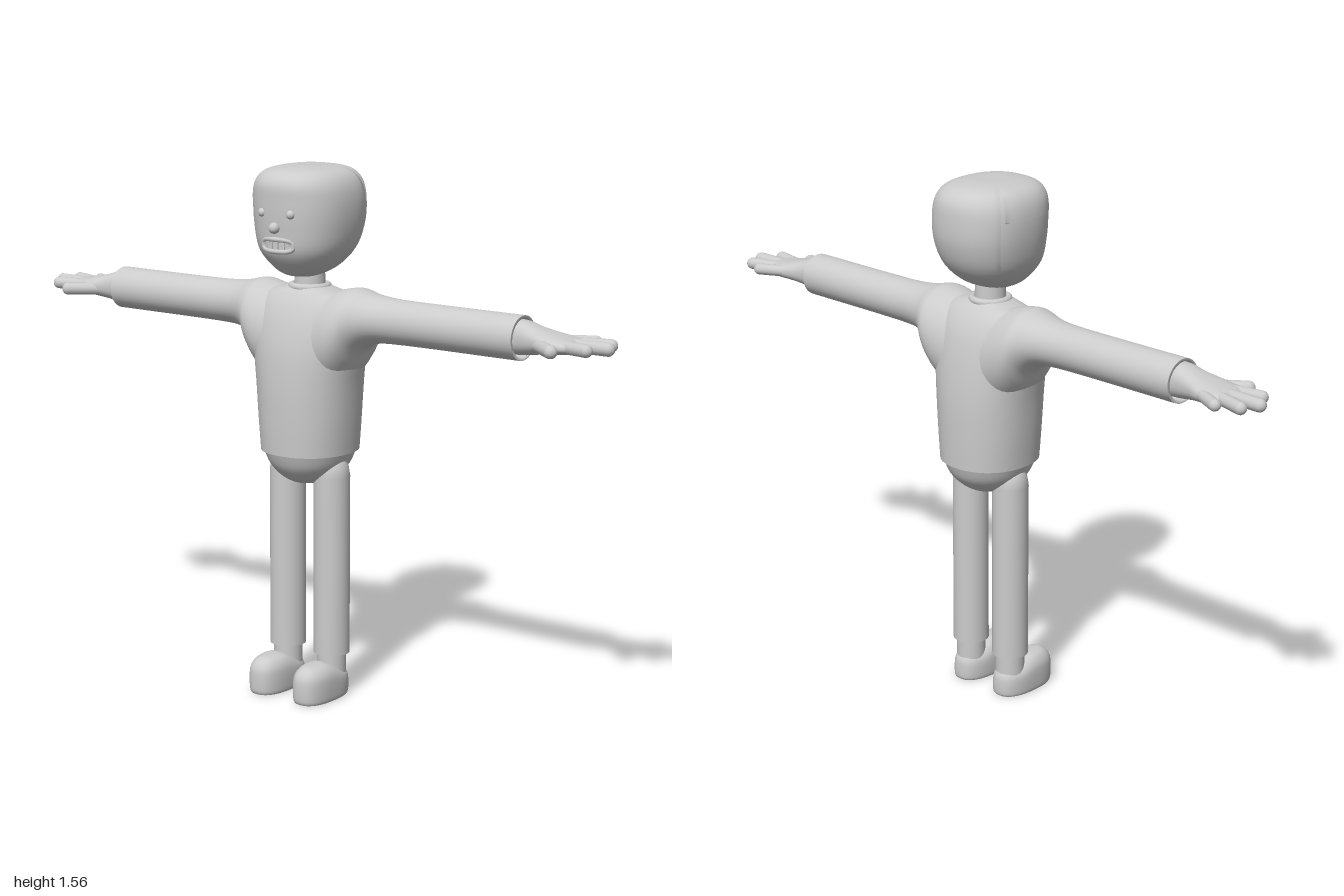
import * as THREE from 'three';
import { mergeVertices } from 'three/addons/utils/BufferGeometryUtils.js';

const material = new THREE.MeshStandardMaterial({ color: 0xcccccc, roughness: 0.8, side: THREE.DoubleSide });
const V = (x, y, z) => new THREE.Vector3(x, y, z);

// Smooth interpolation of a table of rows
function sampleRow(rows, u) {
  const f = u * (rows.length - 1), i = Math.min(Math.floor(f), rows.length - 2), t = f - i;
  const at = k => rows[Math.max(0, Math.min(rows.length - 1, k))];
  return rows[0].map((_, c) => {
    const p = at(i - 1)[c], a = at(i)[c], b = at(i + 1)[c], n = at(i + 2)[c];
    return a + 0.5 * t * (b - p + t * (2 * p - 5 * a + 4 * b - n + t * (3 * (a - b) + n - p)));
  });
}

// Point on a superellipse section; row = [along, aMin, aMax, bMin, bMax]
function sectionPoint(row, angle, exp, place) {
  const [t, a0, a1, b0, b1] = row, c = Math.cos(angle), s = Math.sin(angle);
  const a = (a0 + a1) / 2 + (a1 - a0) / 2 * Math.sign(c) * Math.abs(c) ** (2 / exp);
  const b = (b0 + b1) / 2 + (b1 - b0) / 2 * Math.sign(s) * Math.abs(s) ** (2 / exp);
  return place(t, a, b);
}

// Skin through sections, with optional flat caps; start(angle) trims the lower edge
function loft(rows, place, { exp = 2, n = 40, steps = 40, capStart = false, capEnd = false, start = () => 0 } = {}) {
  const pos = [], index = [];
  for (let j = 0; j <= steps; j++) for (let i = 0; i < n; i++) {
    const a = i / n * Math.PI * 2, u0 = start(a);
    pos.push(...sectionPoint(sampleRow(rows, u0 + (1 - u0) * j / steps), a, exp, place).toArray());
  }
  for (let j = 0; j < steps; j++) for (let i = 0; i < n; i++) {
    const a = j * n + i, b = j * n + (i + 1) % n;
    index.push(a, b, b + n, a, b + n, a + n);
  }
  const cap = (ring, flip) => {
    const base = pos.length / 3;
    for (let i = 0; i < n * 3; i++) pos.push(pos[ring * n * 3 + i]);
    for (let i = 1; i < n - 1; i++) index.push(base, base + (flip ? i + 1 : i), base + (flip ? i : i + 1));
  };
  if (capStart) cap(0, true);
  if (capEnd) cap(steps, false);
  // Signed volume decides which way the skin must wind
  let volume = 0;
  const p = k => V(pos[k * 3], pos[k * 3 + 1] - 1, pos[k * 3 + 2]);
  for (let k = 0; k < index.length; k += 3) volume += p(index[k]).dot(p(index[k + 1]).cross(p(index[k + 2])));
  if (volume < 0) index.reverse();
  const g = new THREE.BufferGeometry();
  g.setAttribute('position', new THREE.Float32BufferAttribute(pos, 3));
  g.setIndex(index);
  g.computeVertexNormals();
  return g;
}

const upright = (cx = 0) => (y, x, z) => V(cx + x, y, z);
const sym = rows => rows.map(([y, w, zf, zb]) => [y, -w, w, zb, zf]);

function add(parent, name, geometry, x = 0, y = 0, z = 0) {
  const mesh = new THREE.Mesh(geometry, material);
  mesh.name = name;
  mesh.position.set(x, y, z);
  parent.add(mesh);
  return mesh;
}

// Rounded finger between two points
function finger(parent, name, from, to, r) {
  const mesh = add(parent, name, new THREE.CapsuleGeometry(r, from.distanceTo(to), 8, 14));
  mesh.position.copy(from).lerp(to, 0.5);
  mesh.quaternion.setFromUnitVectors(V(0, 1, 0), to.clone().sub(from).normalize());
}

function buildHead(parent) {
  const head = new THREE.Group();
  head.name = 'head';
  parent.add(head);
  const rows = sym([[1.24, 0.002, 0.032, 0.028], [1.245, 0.045, 0.075, -0.02], [1.27, 0.088, 0.11, -0.085],
    [1.32, 0.127, 0.145, -0.137], [1.39, 0.145, 0.155, -0.163], [1.46, 0.148, 0.158, -0.166],
    [1.51, 0.137, 0.155, -0.157], [1.54, 0.11, 0.128, -0.127], [1.553, 0.06, 0.07, -0.07], [1.555, 0.002, 0.002, -0.002]]);
  add(head, 'skull', loft(rows, upright(), { exp: 2.3, n: 56, steps: 54 }));
  // Thin hair shell: high over the forehead, low around the back
  const hairRows = rows.map(([y, ...r]) => [y + 0.002, ...r.map(v => v * 1.012)]);
  const hairline = a => Math.sin(a) < -0.45 ? 0.32 : 0.56;
  add(head, 'hair', loft(hairRows, upright(), { exp: 2.3, n: 56, steps: 40, start: hairline }));

  for (const s of [-1, 1]) add(head, 'eye', new THREE.SphereGeometry(0.013, 20, 14), s * 0.05, 1.43, 0.148);
  add(head, 'nose', new THREE.SphereGeometry(0.016, 20, 14), 0, 1.39, 0.159);

  // Lips follow the curve of the face
  const faceZ = x => 0.15 - 5 * x * x;
  const lipPoints = Array.from({ length: 24 }, (_, i) => {
    const a = i / 24 * Math.PI * 2, c = Math.cos(a), s = Math.sin(a);
    const x = 0.052 * Math.sign(c) * Math.abs(c) ** 0.6;
    return V(x, 1.34 + 0.017 * Math.sign(s) * Math.abs(s) ** 0.6, faceZ(x) + 0.002);
  });
  add(head, 'lips', new THREE.TubeGeometry(new THREE.CatmullRomCurve3(lipPoints, true), 64, 0.007, 10, true));
  for (const row of [-1, 1]) for (let i = -2; i <= 2; i++) {
    const x = i * 0.019;
    add(head, 'tooth', new THREE.BoxGeometry(0.017, 0.014, 0.012), x, 1.34 + row * 0.008, faceZ(x) - 0.002)
      .rotation.y = Math.atan(10 * x);
  }
}

function buildArm(parent, s) {
  const arm = new THREE.Group();
  arm.name = s > 0 ? 'leftArm' : 'rightArm';
  parent.add(arm);
  const along = (x, y, z) => V(s * x, y, z);
  // Sleeve flares into the shoulder and turns in at the cuff
  add(arm, 'sleeve', loft([[0.07, 0.9, 1.195, -0.125, 0.105], [0.13, 0.94, 1.21, -0.13, 0.11], [0.165, 0.985, 1.216, -0.127, 0.103],
    [0.187, 1.03, 1.213, -0.115, 0.09], [0.215, 1.055, 1.206, -0.1, 0.075], [0.255, 1.066, 1.2, -0.088, 0.061],
    [0.32, 1.069, 1.196, -0.079, 0.052], [0.45, 1.07, 1.195, -0.077, 0.05], [0.6, 1.07, 1.195, -0.077, 0.05],
    [0.72, 1.07, 1.195, -0.077, 0.05]], along, { steps: 63 }));
  add(arm, 'cuff', loft([[0.72, 1.07, 1.195, -0.077, 0.05], [0.72, 1.078, 1.187, -0.069, 0.042],
    [0.7, 1.078, 1.187, -0.069, 0.042]], along, { steps: 2 }));
  // Palm
  add(arm, 'palm', loft([[0.68, 1.086, 1.184, -0.062, 0.036], [0.73, 1.088, 1.182, -0.06, 0.036], [0.77, 1.094, 1.17, -0.063, 0.04],
    [0.81, 1.1, 1.16, -0.074, 0.05], [0.85, 1.104, 1.152, -0.081, 0.053], [0.885, 1.109, 1.147, -0.07, 0.045],
    [0.905, 1.124, 1.132, -0.035, 0.015]], along, { exp: 2.3, steps: 30, capEnd: true }));
  // Fingers and thumb: [base x, base z, tip x, tip z, radius]
  for (const [x0, z0, x1, z1, r] of [[0.82, -0.058, 0.897, -0.098, 0.017], [0.86, -0.042, 0.96, -0.071, 0.018],
    [0.86, -0.014, 0.981, -0.018, 0.019], [0.85, 0.018, 0.946, 0.036, 0.018]])
    finger(arm, 'finger', V(s * x0, 1.13, z0), V(s * x1, 1.13, z1), r);
  finger(arm, 'thumb', V(s * 0.79, 1.125, 0.025), V(s * 0.865, 1.125, 0.082), 0.019);
}

function buildLeg(parent, s) {
  const leg = new THREE.Group();
  leg.name = s > 0 ? 'leftLeg' : 'rightLeg';
  leg.position.x = s * 0.081;
  parent.add(leg);
  // Trouser leg with a domed top and a recessed hem
  const profile = [[0.042, 0.15], [0.046, 0.127], [0.053, 0.127], [0.053, 0.127], [0.053, 0.66], [0.048, 0.69], [0.036, 0.712], [0.018, 0.723], [0, 0.726]];
  add(leg, 'trouserLeg', new THREE.LatheGeometry(profile.map(p => new THREE.Vector2(...p)), 36), 0, 0, -0.005);
  add(leg, 'ankle', new THREE.CylinderGeometry(0.043, 0.043, 0.1, 32), 0, 0.11, -0.005);
  // Shoe: flat sole, domed toe, lower heel
  const lower = (y, x, z) => V(x, y * (1 - 0.2 * THREE.MathUtils.smoothstep(-z, -0.06, 0.01)), z);
  add(leg, 'shoe', loft(sym([[0, 0.051, 0.145, -0.052], [0.012, 0.054, 0.15, -0.056], [0.05, 0.055, 0.151, -0.056],
    [0.078, 0.052, 0.147, -0.052], [0.098, 0.041, 0.133, -0.04], [0.108, 0.024, 0.112, -0.015], [0.111, 0.002, 0.07, 0.03]]),
  lower, { exp: 2.5, steps: 30, capStart: true, capEnd: true }));
}

export function createModel() {
  const model = new THREE.Group();
  model.name = 'figure';

  // Sweater body
  add(model, 'sweater', loft(sym([[0.73, 0.137, 0.135, -0.15], [0.82, 0.145, 0.138, -0.152], [0.93, 0.155, 0.138, -0.151],
    [1.03, 0.17, 0.13, -0.14], [1.11, 0.176, 0.111, -0.123], [1.16, 0.165, 0.09, -0.102], [1.19, 0.135, 0.07, -0.08],
    [1.203, 0.09, 0.058, -0.067], [1.212, 0.055, 0.05, -0.06]]), upright(), { exp: 2.2, n: 56, steps: 48, capStart: true, capEnd: true }));

  // Hips under the hem
  add(model, 'hips', loft(sym([[0.63, 0.002, 0.002, -0.008], [0.635, 0.04, 0.045, -0.055], [0.655, 0.08, 0.082, -0.094],
    [0.69, 0.113, 0.112, -0.127], [0.735, 0.132, 0.13, -0.145]]), upright(), { exp: 2.1, n: 48, steps: 24 }));

  // Collar and neck
  const collar = add(model, 'collar', new THREE.TorusGeometry(0.052, 0.011, 12, 48), 0, 1.208, -0.005);
  collar.rotation.x = Math.PI / 2;
  add(model, 'neck', mergeVertices(new THREE.CylinderGeometry(0.043, 0.046, 0.1, 36)), 0, 1.23, -0.005);

  buildHead(model);
  for (const s of [1, -1]) {
    buildArm(model, s);
    buildLeg(model, s);
  }
  return model;
}
